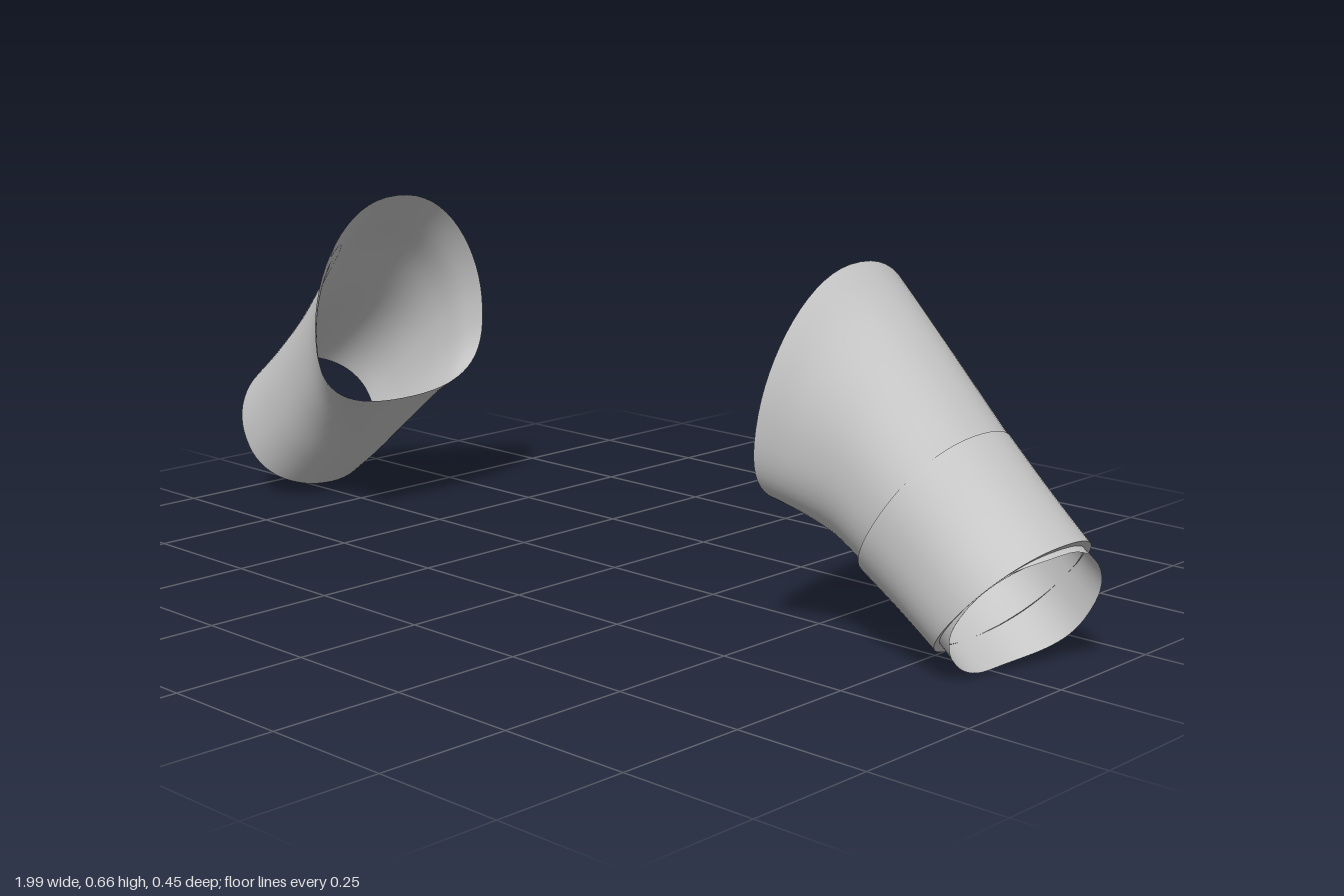
import * as THREE from 'three';

const SEGMENTS = 64;

// Lofts an open tube through slanted oval sections.
// Section: [topX, topY, bottomX, bottomY, frontZ, backZ, egg]
// wave: how far the last edge reaches out on the front (+) or back (-) side.
function loft(name, material, sections, { steps = 20, wave = 0, square = 0.9 } = {}) {
  const at = (t, k) => {
    // Catmull-Rom through one column of the sections
    const n = sections.length - 1;
    const i = Math.min(Math.floor(t * n), n - 1);
    const f = t * n - i;
    const p1 = sections[i][k], p2 = sections[i + 1][k];
    const p0 = i > 0 ? sections[i - 1][k] : 2 * p1 - p2;
    const p3 = i + 2 <= n ? sections[i + 2][k] : 2 * p2 - p1;
    return p1 + 0.5 * f * (p2 - p0 + f * (2 * p0 - 5 * p1 + 4 * p2 - p3 + f * (3 * (p1 - p2) + p3 - p0)));
  };
  const soft = (v) => Math.sign(v) * Math.abs(v) ** square;
  const side = Math.sign(sections[0][0]);
  const positions = [], indices = [];

  for (let i = 0; i <= steps; i++) {
    const t = i / steps;
    const [tx, ty, bx, by, zf, zb, egg] = [0, 1, 2, 3, 4, 5, 6].map((k) => at(t, k));
    for (let j = 0; j < SEGMENTS; j++) {
      const a = (j / SEGMENTS) * Math.PI * 2;
      const s = Math.sin(a);
      const c = soft(Math.cos(a)) - egg * s * s;
      const reach = wave * s * Math.abs(s) * t ** 3;
      positions.push(
        (tx + bx) / 2 + (c * (tx - bx)) / 2 + side * 0.78 * reach,
        (ty + by) / 2 + (c * (ty - by)) / 2 - 0.62 * reach,
        (zf + zb) / 2 + (soft(s) * (zf - zb)) / 2
      );
    }
  }
  for (let i = 0; i < steps; i++) {
    for (let j = 0; j < SEGMENTS; j++) {
      const a = i * SEGMENTS + j, c = i * SEGMENTS + ((j + 1) % SEGMENTS);
      const b = a + SEGMENTS, d = c + SEGMENTS;
      if (side > 0) indices.push(a, c, b, c, d, b);
      else indices.push(a, b, c, c, b, d);
    }
  }
  const geometry = new THREE.BufferGeometry();
  geometry.setAttribute('position', new THREE.Float32BufferAttribute(positions, 3));
  geometry.setIndex(indices);
  geometry.computeVertexNormals();
  const mesh = new THREE.Mesh(geometry, material);
  mesh.name = name;
  return mesh;
}

export function createModel() {
  const cloth = new THREE.MeshStandardMaterial({ color: 0xc8c8c8, side: THREE.DoubleSide });
  cloth.name = 'grey cloth';

  // Right sleeve: one flared piece with a wavy cuff edge
  const rightSleeve = new THREE.Group();
  rightSleeve.name = 'rightSleeve';
  rightSleeve.add(
    loft('rightSleeveCloth', cloth, [
      [-0.61, 0.66, -0.6, 0.245, 0.226, -0.22, 0.25],
      [-0.66, 0.61, -0.635, 0.215, 0.19, -0.197, 0.2],
      [-0.73, 0.54, -0.685, 0.17, 0.158, -0.19, 0.1],
      [-0.82, 0.435, -0.74, 0.122, 0.142, -0.185, 0],
      [-0.92, 0.34, -0.8, 0.07, 0.138, -0.175, 0],
      [-1, 0.27, -0.86, 0.02, 0.14, -0.16, 0],
    ], { steps: 40, wave: 0.035 })
  );

  // Left sleeve: flared upper part, cuff band, folded hem and inner lining
  const leftSleeve = new THREE.Group();
  leftSleeve.name = 'leftSleeve';
  leftSleeve.add(
    loft('leftUpperSleeve', cloth, [
      [0.565, 0.65, 0.5, 0.235, 0.205, -0.228, 0.25],
      [0.62, 0.59, 0.545, 0.205, 0.168, -0.215, 0.18],
      [0.7, 0.508, 0.592, 0.173, 0.143, -0.197, 0.08],
      [0.82, 0.385, 0.642, 0.138, 0.138, -0.184, 0],
    ], { steps: 30 }),
    loft('leftCuffBand', cloth, [
      [0.815, 0.393, 0.637, 0.127, 0.141, -0.187, 0],
      [0.905, 0.313, 0.717, 0.078, 0.14, -0.176, 0],
      [0.992, 0.242, 0.8, 0.03, 0.149, -0.165, 0],
    ]),
    loft('leftCuffHem', cloth, [
      [0.992, 0.242, 0.8, 0.03, 0.149, -0.165, 0],
      [0.977, 0.23, 0.812, 0.046, 0.138, -0.154, 0],
    ], { steps: 2 }),
    loft('leftCuffLining', cloth, [
      [0.9, 0.295, 0.74, 0.105, 0.132, -0.16, 0],
      [0.972, 0.234, 0.81, 0.048, 0.137, -0.154, 0],
      [0.988, 0.225, 0.86, 0.005, 0.138, -0.152, 0],
    ], { wave: -0.035, square: 0.82 })
  );

  const model = new THREE.Group();
  model.name = 'sleeves';
  model.add(rightSleeve, leftSleeve);
  return model;
}
